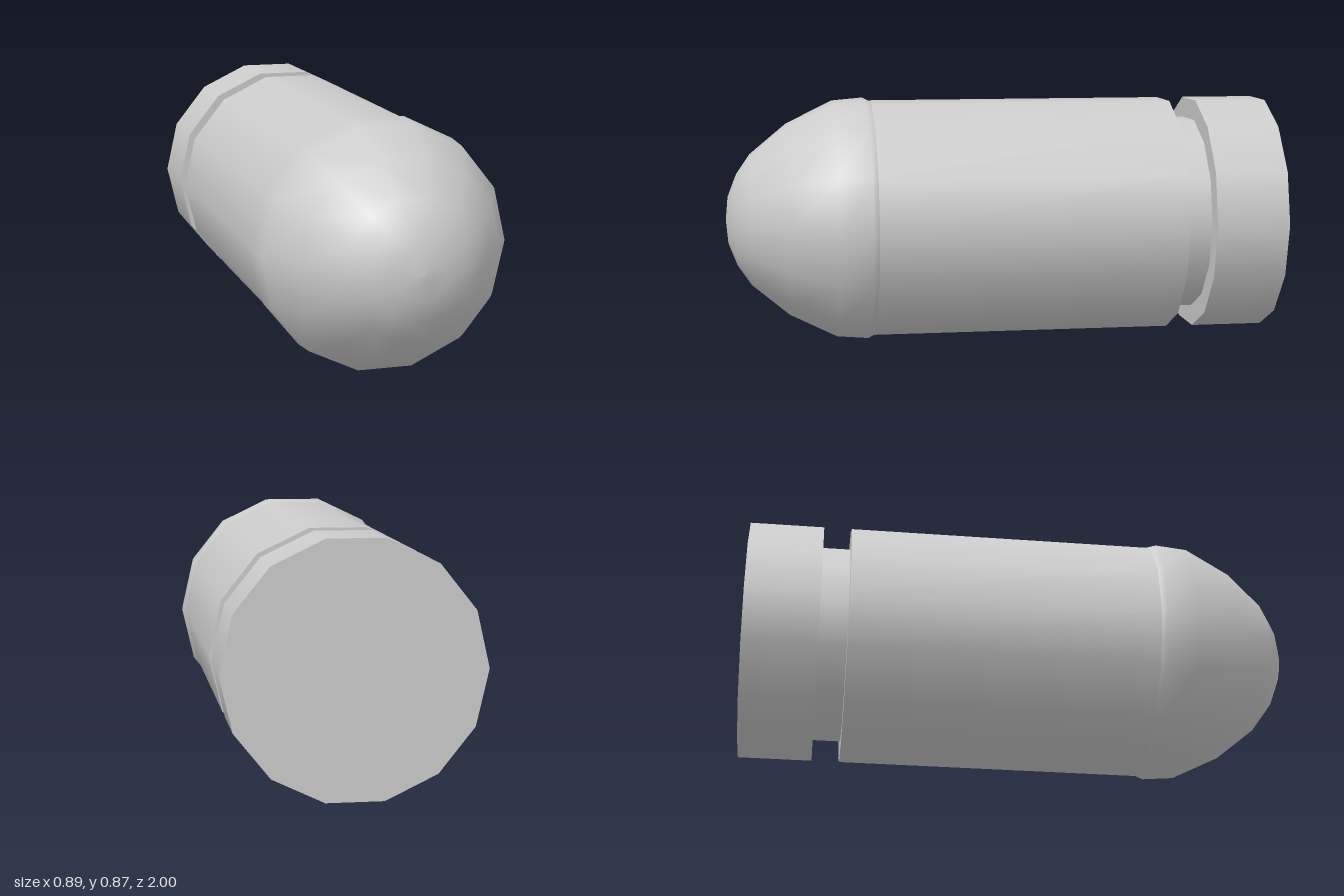
import * as THREE from 'three';

const SIDES = 14;
const CENTER_Y = 0.436;

export function createModel() {
  const model = new THREE.Group();
  const material = new THREE.MeshStandardMaterial({ color: 0xcccccc });

  // Revolves a [radius, z] profile, listed back to front, around the z axis
  function turned(name, profile) {
    const points = profile.map(([r, z]) => new THREE.Vector2(r, z));
    const geometry = new THREE.LatheGeometry(points, SIDES, Math.PI / 2);
    geometry.rotateX(Math.PI / 2);
    const mesh = new THREE.Mesh(geometry, material);
    mesh.name = name;
    mesh.position.y = CENTER_Y;
    model.add(mesh);
  }

  // Base rim, with separate faces so its edges stay sharp
  turned('baseEnd', [[0, -1], [0.436, -1]]);
  turned('baseRim', [[0.436, -1], [0.436, -0.735]]);
  turned('rimShoulder', [[0.436, -0.735], [0.36, -0.735]]);

  // Extractor groove
  turned('groove', [[0.36, -0.735], [0.36, -0.635]]);
  turned('bodyShoulder', [[0.36, -0.635], [0.436, -0.635]]);

  // Straight casing
  turned('casing', [[0.436, -0.635], [0.436, 0.47]]);

  // Rounded nose with a slight lip where it meets the casing
  turned('nose', [
    [0.434, 0.465], [0.447, 0.49], [0.437, 0.605], [0.353, 0.775],
    [0.241, 0.91], [0.168, 0.96], [0.085, 0.992], [0, 1],
  ]);

  return model;
}
